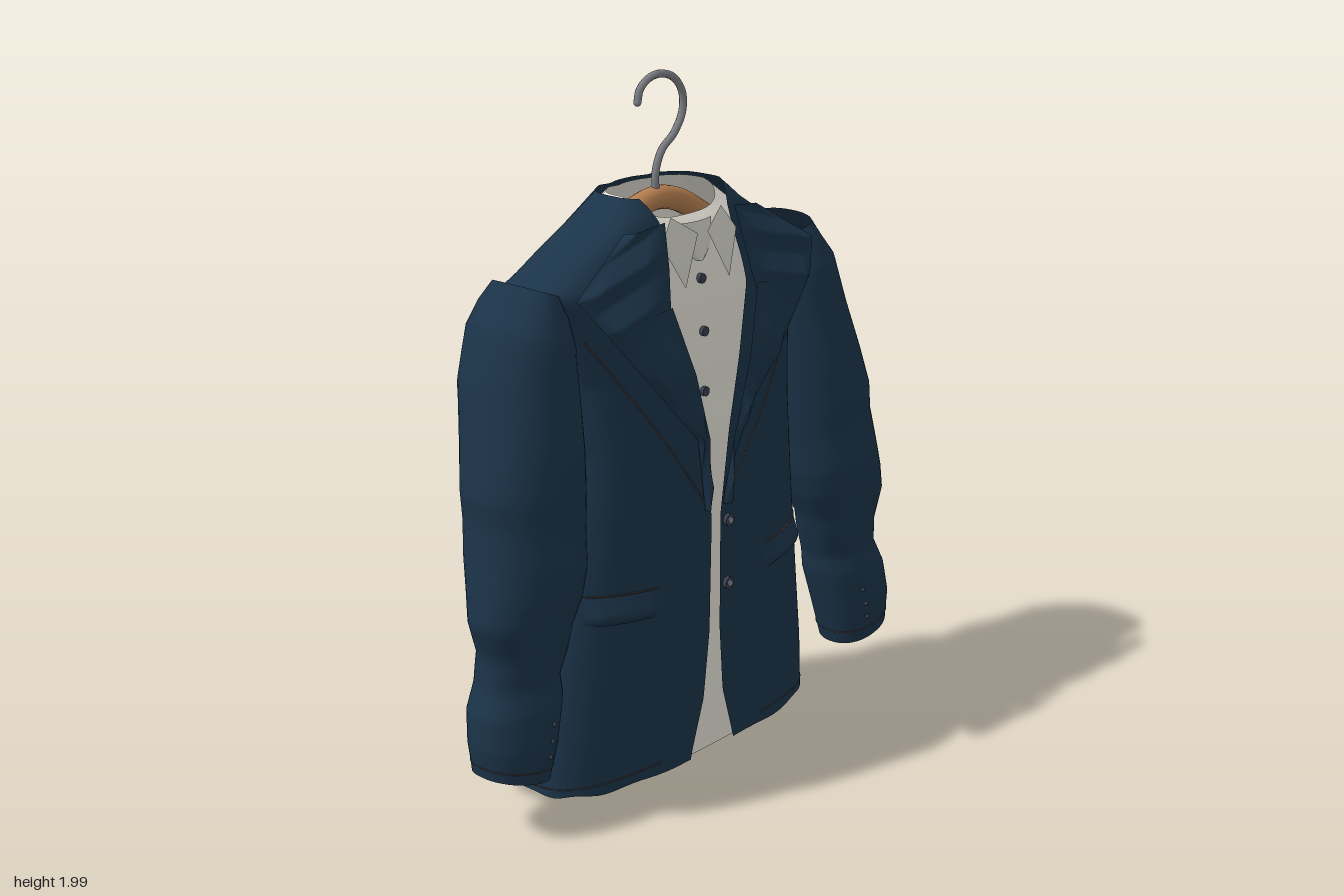
import * as THREE from 'three';
import { mergeVertices } from 'three/addons/utils/BufferGeometryUtils.js';

const mat = (name, color) => Object.assign(new THREE.MeshStandardMaterial({ color, side: THREE.DoubleSide }), { name });
const V = (x, y, z) => new THREE.Vector3(x, y, z);

// body profile: y, half width, centre x, front z, back z, right edge x, left edge x
const PROFILE = [
  [0.03, 0.56, -0.04, 0.205, -0.20, -0.13, 0.06],
  [0.20, 0.545, -0.035, 0.205, -0.20, -0.075, 0.01],
  [0.40, 0.52, -0.03, 0.20, -0.20, -0.045, 0.0],
  [0.75, 0.47, -0.02, 0.20, -0.205, -0.038, 0.0],
  [1.00, 0.44, -0.015, 0.20, -0.225, -0.085, 0.035],
  [1.20, 0.45, -0.015, 0.185, -0.232, -0.135, 0.095],
  [1.40, 0.51, -0.02, 0.16, -0.215, -0.2, 0.155],
  [1.465, 0.56, -0.025, 0.145, -0.20, -0.19, 0.15],
  [1.49, 0.50, -0.025, 0.14, -0.20, -0.185, 0.145],
  [1.55, 0.39, -0.03, 0.13, -0.19, -0.17, 0.13],
  [1.62, 0.27, -0.025, 0.12, -0.17, -0.165, 0.12],
  [1.68, 0.195, -0.02, 0.09, -0.14, -0.19, 0.15],
];
// sleeve rings: outer x, y, inner x, y, back z, front z
const SLEEVE = [
  [0.56, 1.51, 0.46, 1.47, -0.12, 0.10],
  [0.60, 1.46, 0.43, 1.41, -0.155, 0.125],
  [0.65, 1.40, 0.41, 1.33, -0.17, 0.15],
  [0.70, 1.25, 0.41, 1.20, -0.17, 0.17],
  [0.74, 1.10, 0.42, 1.05, -0.13, 0.20],
  [0.775, 0.98, 0.43, 0.92, -0.095, 0.215],
  [0.775, 0.90, 0.44, 0.83, -0.085, 0.22],
  [0.79, 0.80, 0.45, 0.73, -0.07, 0.235],
  [0.81, 0.71, 0.475, 0.65, -0.035, 0.235],
  [0.825, 0.63, 0.515, 0.57, -0.005, 0.225],
  [0.795, 0.53, 0.53, 0.51, 0.0, 0.215],
  [0.81, 0.44, 0.555, 0.43, 0.005, 0.20],
  [0.845, 0.36, 0.56, 0.37, 0.0, 0.22],
  [0.855, 0.27, 0.60, 0.24, 0.01, 0.23],
  [0.85, 0.18, 0.635, 0.12, 0.025, 0.22],
];
const N = 3.1;
const spow = (v, p) => Math.sign(v) * Math.abs(v) ** p;
const clamp = (v) => Math.min(1, Math.max(0, v));
const mix = (a, b, k) => a.map((v, i) => v + (b[i] - v) * k);

function rowAt(y) {
  let i = 0;
  while (i < PROFILE.length - 2 && y > PROFILE[i + 1][0]) i++;
  const a = PROFILE[i], b = PROFILE[i + 1];
  return mix(a, b, clamp((y - a[0]) / (b[0] - a[0])));
}
// point on the body at angle t: 0 is front centre, PI is back centre
function bodyPoint(t, y) {
  const [, hw, cx, front, back] = rowAt(y), c = Math.cos(t);
  let z = (c > 0 ? front : -back) * spow(c, 2 / N);
  if (c < 0) z += 0.006 * c * Math.cos(13 * Math.sin(t));
  return [cx + hw * spow(Math.sin(t), 2 / N), y, z];
}
function frontZ(x, y) {
  const [, hw, cx, front] = rowAt(y);
  return front * (1 - clamp(Math.abs((x - cx) / hw)) ** N) ** (1 / N);
}
const edgeAngle = (u) => Math.asin(clamp(u) ** (N / 2));
// how far forward the shirt front sits inside the jacket
const shirtDepth = (y) => 0.8 + 0.15 * clamp((y - 1.1) / 0.4);

// smooth surface from a rule f(u, v)
function surface(rows, cols, f) {
  const pos = [], idx = [];
  for (let i = 0; i <= rows; i++) for (let j = 0; j <= cols; j++) pos.push(...f(i / rows, j / cols));
  for (let i = 0; i < rows; i++) for (let j = 0; j < cols; j++) {
    const a = i * (cols + 1) + j, b = a + cols + 1;
    idx.push(a, a + 1, b, b, a + 1, b + 1);
  }
  let g = new THREE.BufferGeometry();
  g.setAttribute('position', new THREE.Float32BufferAttribute(pos, 3));
  g.setIndex(idx);
  g = mergeVertices(g, 1e-5);
  g.computeVertexNormals();
  return g;
}
function along(pts, k) {
  const s = k * (pts.length - 1), i = Math.min(pts.length - 2, Math.floor(s));
  return mix(pts[i], pts[i + 1], s - i);
}
const tube = (pts, r, seg = 40, sides = 5) =>
  new THREE.TubeGeometry(new THREE.CatmullRomCurve3(pts.map((p) => V(...p))), seg, r, sides, false);

export function createModel() {
  const group = new THREE.Group();
  const navy = mat('navy cloth', 0x1b3348), cream = mat('cream shirt', 0xe6e4d9), collarMat = mat('collar cloth', 0xd6d5cc);
  const wood = mat('wood', 0xb57f50), metal = mat('metal', 0x7d8186), thread = mat('brown thread', 0x4a4040);
  const buttonMat = mat('dark button', 0x37404f), pale = mat('button rim', 0x8a929c);
  const add = (name, geo, m) => {
    const mesh = new THREE.Mesh(geo, m);
    mesh.name = name;
    group.add(mesh);
    return mesh;
  };

  // jacket shell, open at the front, with a wavy hem
  add('jacketBody', surface(80, 96, (u, v) => {
    const y = 0.03 + 1.65 * u, [, hw, cx, , , eR, eL] = rowAt(y);
    const a = edgeAngle((eL - cx) / hw), b = 2 * Math.PI - edgeAngle((cx - eR) / hw), t = a + (b - a) * v;
    const p = bodyPoint(t, y);
    if (u === 0) p[1] += 0.016 * Math.sin(t) ** 2 - 0.006 + 0.004 * Math.sin(t * 11);
    return p;
  }), navy);
  const hem = [];
  for (let i = 0; i <= 60; i++) hem.push(bodyPoint(0.25 + (i / 60) * 5.8, 0.06));
  add('hemStitch', tube(hem, 0.002, 120), thread);

  // shirt, a closed shell inside the jacket, narrowing to a neck band
  add('shirt', surface(64, 72, (u, v) => {
    const t = v * Math.PI * 2, c = Math.cos(t), base = 0.05 - 0.045 * Math.max(0, c) ** 3;
    const y = base + (1.676 - base) * u, p = bodyPoint(t, y), cx = rowAt(y)[2];
    const band = 1 - 0.11 * clamp((y - 1.6) / 0.08);
    const dip = Math.max(0, c) * 0.06 * Math.max(0, (y - 1.55) / 0.12);
    return [cx + (p[0] - cx) * 0.94 * band, y - dip, p[2] * (c > 0 ? shirtDepth(y) : 0.92 * band)];
  }), cream);

  // sleeves, open at the shoulder and the cuff
  for (const s of [1, -1]) {
    const side = s > 0 ? 'left' : 'right';
    const ring = (k, t) => {
      const [xo, yo, xi, yi, zb, zf] = along(SLEEVE, k), c = spow(Math.cos(t), 0.9), d = spow(Math.sin(t), 0.9);
      const p = [s * ((xo + xi) / 2 + ((xo - xi) / 2) * c), (yo + yi) / 2 + ((yo - yi) / 2) * c, (zf + zb) / 2 + ((zf - zb) / 2) * d];
      if (s < 0) {
        // the right arm hangs a little further out, higher and further back
        const y = p[1];
        p[0] -= 0.045 * clamp((y - 0.2) / 1.1);
        p[1] += 0.025 * clamp((0.5 - y) / 0.4);
        p[2] -= 0.035 * clamp((1.2 - y) / 0.7);
      }
      return p;
    };
    add(side + 'Sleeve', surface(56, 40, (u, v) => ring(u, v * Math.PI * 2)), navy);
    const cuff = [];
    for (let i = 0; i <= 32; i++) cuff.push(ring(0.975, (i / 32) * Math.PI * 2));
    add(side + 'CuffStitch', tube(cuff, 0.002, 64), thread);
    for (let i = 0; i < 3; i++) {
      const b = add(side + 'CuffButton', new THREE.SphereGeometry(0.007, 8, 6), buttonMat);
      b.position.set(...ring(0.95 - i * 0.03, 1.9));
    }
  }

  // lapels, collar flaps and shirt collar, mirrored
  const LAPEL_IN = [[0.005, 0.78, 0.203], [0.035, 1.0, 0.225], [0.095, 1.2, 0.225], [0.16, 1.4, 0.195]];
  const LAPEL_OUT = [[0.03, 0.78, 0.203], [0.07, 1.0, 0.21], [0.23, 1.17, 0.21], [0.41, 1.375, 0.185]];
  const FLAP_IN = [[0.16, 1.38, 0.19], [0.14, 1.5, 0.165], [0.125, 1.62, 0.135]];
  const FLAP_OUT = [[0.41, 1.375, 0.185], [0.475, 1.47, 0.14], [0.25, 1.605, 0.1]];
  for (const s of [1, -1]) {
    const side = s > 0 ? 'left' : 'right';
    const flip = ([x, y, z]) => [s > 0 ? x : -0.04 - x, y, z];
    // creases fan out from the inner edge
    const strip = (a, b, rows, pleats, depth) => surface(rows, 24, (u, v) => {
      const p = mix(along(a, u), along(b, u), v), saw = Math.abs(((u * pleats + v * 0.5) % 1) * 2 - 1);
      p[2] += depth * (1 - saw) * Math.min(1, 3 * v, 6 * (1 - v));
      return flip(p);
    });
    add(side + 'Lapel', strip(LAPEL_IN, LAPEL_OUT, 36, 3, 0.022), navy);
    add(side + 'CollarFlap', strip(FLAP_IN, FLAP_OUT, 32, 2, 0.025), navy);
    const seam = [];
    for (let i = 0; i <= 20; i++) {
      const q = flip([0.02 + 0.02 * i, 0.79 + 0.0275 * i, 0]);
      seam.push([q[0], q[1], frontZ(q[0], q[1]) + 0.002]);
    }
    add(side + 'LapelStitch', tube(seam, 0.0025), thread);
    const wing = [[0.085, 1.625, 0.12], [0.0, 1.57, 0.145]], tip = [[0.135, 1.555, 0.135], [0.072, 1.43, 0.165]];
    add(side + 'ShirtCollar', surface(6, 6, (u, v) => flip(mix(along(wing, u), along(tip, u), v))), collarMat);
  }
  // collar stand closing at the throat
  add('collarStand', surface(8, 12, (u, v) => {
    const a = (v - 0.5) * 2, w = 0.065 * Math.sqrt(1 - u * u * 0.96);
    return [-0.02 + a * w, 1.6 - 0.11 * u, 0.13 + 0.015 * u - 0.012 * a * a];
  }), collarMat);

  // pocket flaps following the cloth, puffed below a stitched seam
  const pocket = (name, [x0, y0], [x1, y1], h) => {
    const at = (u, v, lift) => {
      const x = x0 + (x1 - x0) * v, y = y0 + (y1 - y0) * v + h * u;
      return [x, y, frontZ(x, y) + lift];
    };
    const ends = (v) => Math.min(1, 8 * v, 8 * (1 - v));
    add(name, surface(12, 16, (u, v) => at(u, v, 0.001 + 0.018 * ends(v) * Math.min(1, 5 * u, 1.6 * (1 - u)))), navy);
    const line = [];
    for (let i = 0; i <= 12; i++) line.push(at(1, i / 12, 0.001));
    add(name + 'Stitch', tube(line, 0.0025, 20), thread);
  };
  pocket('rightPocket', [-0.49, 0.535], [-0.26, 0.515], 0.085);
  pocket('leftPocket', [0.21, 0.515], [0.44, 0.535], 0.085);
  pocket('breastPocket', [0.17, 1.165], [0.36, 1.235], 0.04);

  // buttons
  const button = (name, x, y, z, r, m) => {
    const b = add(name, new THREE.CylinderGeometry(r, r, 0.014, 16), m);
    b.rotation.x = Math.PI / 2;
    b.position.set(x, y, z);
  };
  for (const y of [1.44, 1.29, 1.115]) button('shirtButton', -0.025, y, rowAt(y)[3] * shirtDepth(y) + 0.005, 0.014, buttonMat);
  for (const y of [0.725, 0.53]) {
    button('jacketButton', 0.03, y, 0.205, 0.018, buttonMat);
    button('jacketButtonCentre', 0.03, y, 0.209, 0.009, pale);
  }

  // hanger
  add('hangerBar', tube([[-0.42, 1.43, -0.025], [-0.22, 1.565, -0.025], [-0.11, 1.625, -0.025], [-0.025, 1.642, -0.025],
    [0.06, 1.625, -0.025], [0.17, 1.565, -0.025], [0.37, 1.43, -0.025]], 0.034, 48, 14), wood);
  const hook = [[-0.03, 1.64], [-0.03, 1.72], [-0.005, 1.775], [0.045, 1.815], [0.08, 1.87], [0.08, 1.925], [0.045, 1.97],
    [-0.01, 1.988], [-0.06, 1.98], [-0.095, 1.953], [-0.104, 1.92]];
  add('hangerHook', tube(hook.map(([x, y]) => [x, y, -0.02]), 0.011, 70, 10), metal);
  const end = add('hookTip', new THREE.SphereGeometry(0.011, 10, 8), metal);
  end.position.set(-0.104, 1.92, -0.02);

  return group;
}
